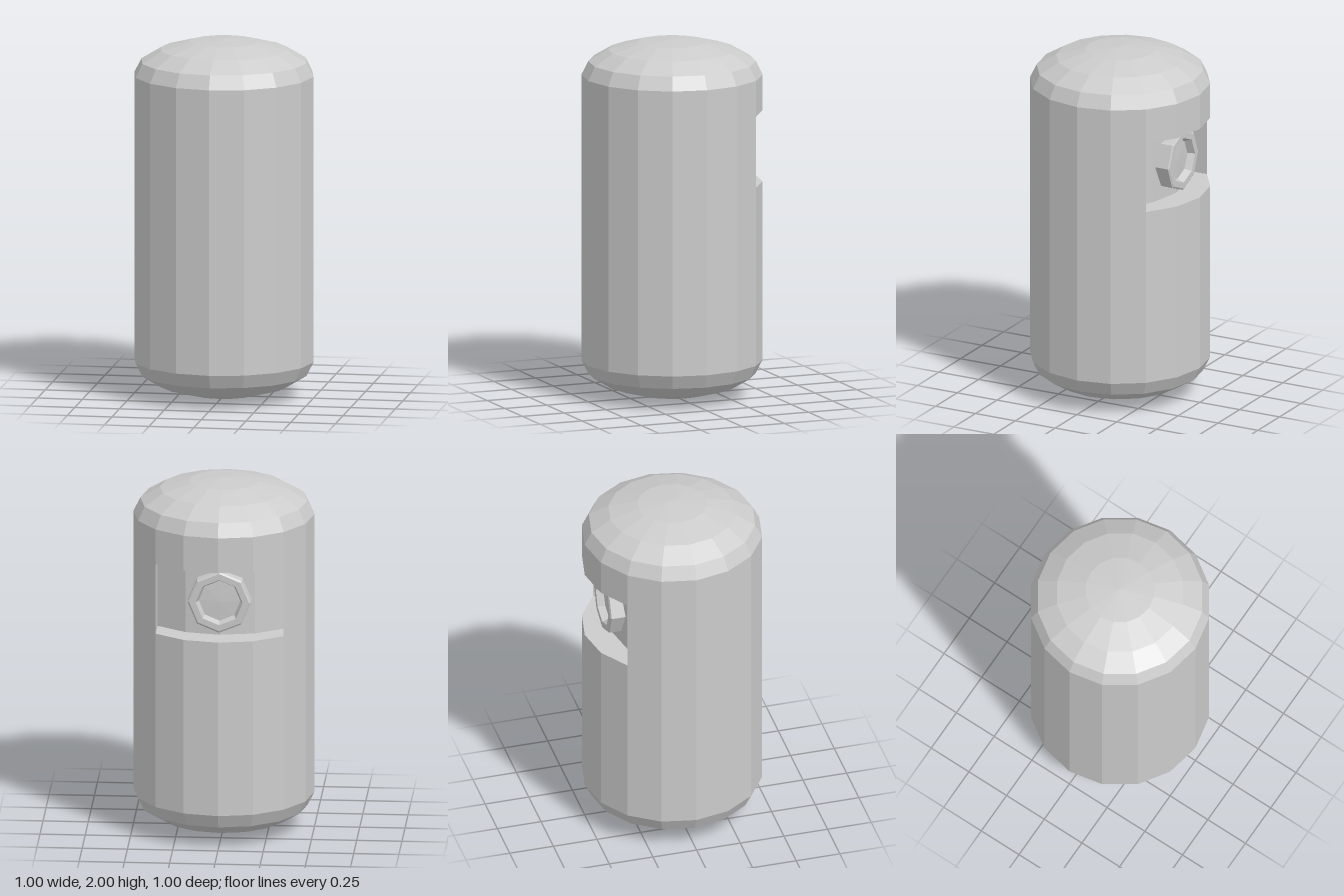
import * as THREE from 'three';

const RADIUS = 0.5, SIDES = 16, CAP = 0.2;
const SLOT_LOW = 1.2, SLOT_HIGH = 1.6, SLOT_DEPTH = 0.15;
const V = (x, y) => new THREE.Vector2(x, y);

export function createModel() {
  const group = new THREE.Group();
  const solid = new THREE.MeshStandardMaterial({ color: 0xcccccc, flatShading: true });
  const thin = new THREE.MeshStandardMaterial({ color: 0xcccccc, flatShading: true, side: THREE.DoubleSide });

  const add = (name, geometry, material = solid) => {
    const mesh = new THREE.Mesh(geometry, material);
    mesh.name = name;
    group.add(mesh);
    return mesh;
  };

  // Flattened domes: quarter ellipses in four steps
  const dome = [0, 1, 2, 3, 4].map((i) => {
    const a = (i * Math.PI) / 8;
    return V(RADIUS * Math.sin(a), CAP * Math.cos(a));
  });
  const lower = dome.map((p) => V(p.x, CAP - p.y));
  const upper = dome.map((p) => V(p.x, 2 - CAP + p.y)).reverse();

  // Body: full rings below and above the slot, three quarters of a ring beside it
  add('lowerBody', new THREE.LatheGeometry([...lower, V(RADIUS, SLOT_LOW)], SIDES));
  add('upperBody', new THREE.LatheGeometry([V(RADIUS, SLOT_HIGH), ...upper], SIDES));
  const band = [V(RADIUS, SLOT_LOW), V(RADIUS, SLOT_HIGH)];
  add('middleBody', new THREE.LatheGeometry(band, 12, Math.PI * 1.25, Math.PI * 1.5));

  // Slot floor: the missing quarter of the ring pushed inwards
  const floor = new THREE.LatheGeometry(band, 4, Math.PI * 0.75, Math.PI * 0.5);
  add('slotFloor', floor.translate(0, 0, SLOT_DEPTH), thin);

  // Slot ledges between the outer arc and the floor arc
  const arc = [6, 7, 8, 9, 10].map((i) => {
    const a = (i * Math.PI) / 8;
    return V(RADIUS * Math.sin(a), RADIUS * Math.cos(a));
  });
  const inner = arc.map((p) => V(p.x, p.y + SLOT_DEPTH)).reverse();
  for (const [name, y] of [['slotLowerLedge', SLOT_LOW], ['slotUpperLedge', SLOT_HIGH]]) {
    const ledge = new THREE.ShapeGeometry(new THREE.Shape([...arc, ...inner]));
    add(name, ledge.rotateX(Math.PI / 2).translate(0, y, 0), thin);
  }

  // Slot end walls
  const edge = RADIUS * Math.SQRT1_2;
  for (const [name, s] of [['slotLeftWall', 1], ['slotRightWall', -1]]) {
    const wall = new THREE.PlaneGeometry(SLOT_DEPTH, SLOT_HIGH - SLOT_LOW).rotateY(Math.PI / 2);
    add(name, wall.translate(s * edge, (SLOT_LOW + SLOT_HIGH) / 2, -edge + SLOT_DEPTH / 2), thin);
  }

  // Eight-sided button with a recessed centre
  const profile = [
    V(0.175, 0.25), V(0.175, 0.394), V(0.165, 0.4),
    V(0.13, 0.4), V(0.115, 0.36), V(0, 0.365),
  ];
  const button = new THREE.LatheGeometry(profile, 8).rotateX(-Math.PI / 2);
  add('button', button.translate(0, (SLOT_LOW + SLOT_HIGH) / 2, 0));

  return group;
}
